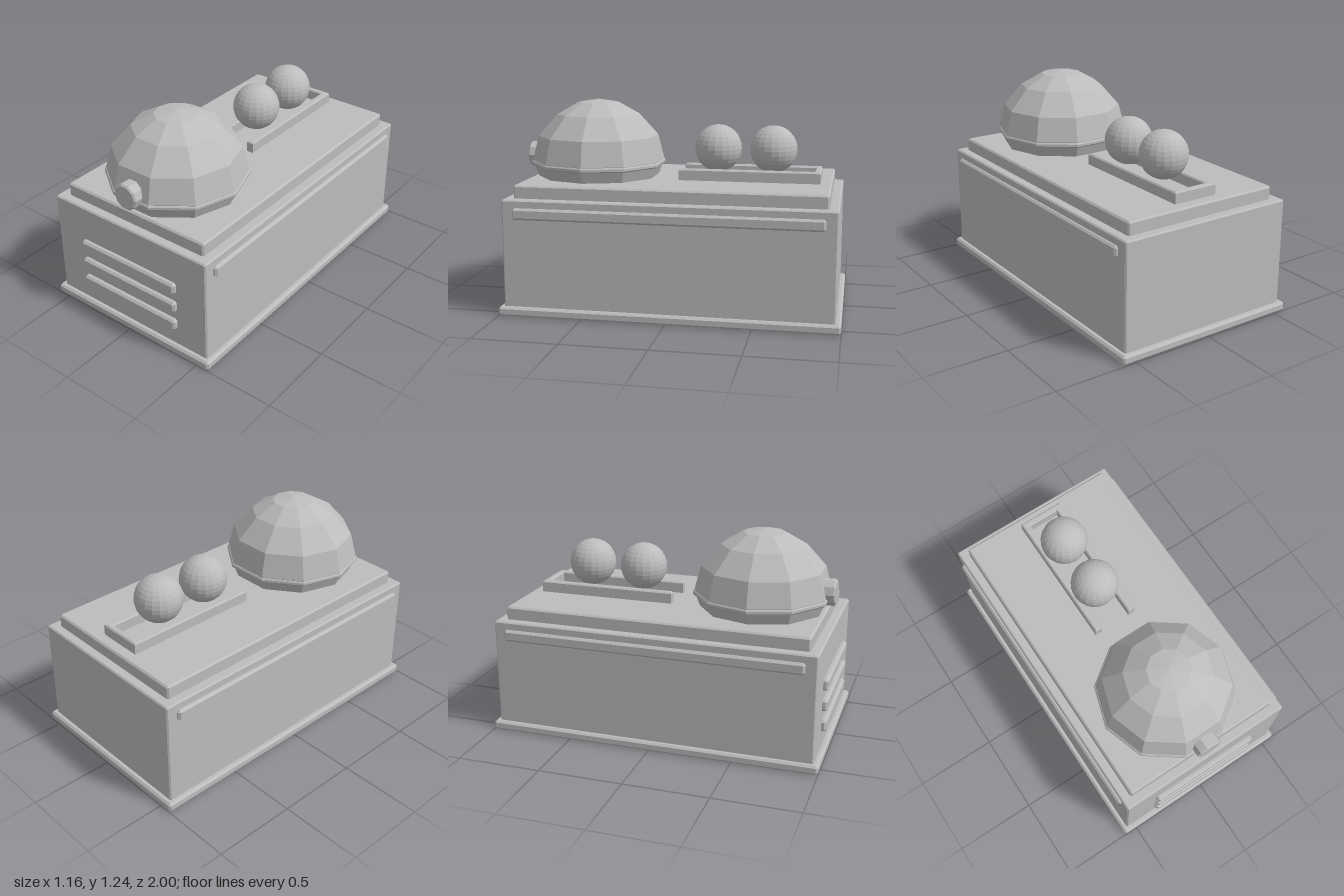
import * as THREE from 'three';
import { ConvexGeometry } from 'three/addons/geometries/ConvexGeometry.js';

const grey = new THREE.MeshStandardMaterial({ color: 0xbcbcbc });
grey.name = 'plain grey';

// Flat-shaded mesh
function part(name, geometry, parent) {
  const geo = geometry.index ? geometry.toNonIndexed() : geometry;
  geo.computeVertexNormals();
  const mesh = new THREE.Mesh(geo, grey);
  mesh.name = name;
  parent.add(mesh);
  return mesh;
}

// Box with one chamfer on every edge, given by its limits on each axis
function chamferBox([x0, x1], [y0, y1], [z0, z1], b) {
  const half = [(x1 - x0) / 2, (y1 - y0) / 2, (z1 - z0) / 2];
  const points = [];
  for (const sx of [-1, 1]) for (const sy of [-1, 1]) for (const sz of [-1, 1]) {
    for (let axis = 0; axis < 3; axis++) {
      const p = half.map((h, i) => (i === axis ? h : h - b));
      points.push(new THREE.Vector3(sx * p[0], sy * p[1], sz * p[2]));
    }
  }
  return new ConvexGeometry(points).translate((x0 + x1) / 2, (y0 + y1) / 2, (z0 + z1) / 2);
}

// Ten-sided turned form with corners on the x axis
function turned(profile) {
  const points = profile.map(([r, y]) => new THREE.Vector2(r, y));
  return new THREE.LatheGeometry(points, 10, Math.PI / 2);
}

export function createModel() {
  const model = new THREE.Group();
  model.name = 'machine';

  // Cabinet
  part('basePlate', chamferBox([-0.582, 0.582], [0, 0.055], [-1, 1], 0.012), model);
  part('body', chamferBox([-0.553, 0.553], [0.03, 0.694], [-0.97, 0.97], 0.008), model);
  part('topPlate', chamferBox([-0.497, 0.497], [0.66, 0.772], [-0.915, 0.915], 0.01), model);

  // Front louvres
  for (const y of [0.196, 0.321, 0.446]) {
    part('louvre', chamferBox([-0.347, 0.347], [y - 0.034, y + 0.034], [0.93, 0.999], 0.012), model);
  }

  // Side rails
  for (const s of [-1, 1]) {
    const x = s * 0.54;
    part(s > 0 ? 'leftRail' : 'rightRail',
      chamferBox([x - 0.034, x + 0.034], [0.58, 0.648], [-0.902, 0.902], 0.012), model);
  }

  // Dome with its rim band
  const dome = new THREE.Group();
  dome.name = 'dome';
  dome.position.z = 0.53;
  model.add(dome);
  part('domeShell', turned([
    [0.37, 0.76], [0.402, 0.845], [0.408, 0.87], [0.371, 1.018],
    [0.254, 1.15], [0.126, 1.223], [0, 1.243],
  ]), dome);
  part('domeRim', turned([
    [0.38, 0.838], [0.41, 0.838], [0.416, 0.845], [0.416, 0.859], [0.41, 0.867], [0.38, 0.867],
  ]), dome);

  // Round knob on the dome front
  const knob = part('knob', turned([
    [0, -0.06], [0.079, -0.06], [0.079, 0.06], [0.069, 0.069], [0, 0.069],
  ]).rotateX(Math.PI / 2), model);
  knob.position.set(0, 0.893, 0.9);

  // U-shaped tray, open towards the front
  const outline = [
    [-0.14, 0], [-0.095, 0], [-0.095, 0.808], [0.095, 0.808],
    [0.095, 0], [0.14, 0], [0.14, 0.847], [-0.14, 0.847],
  ].map(([x, y]) => new THREE.Vector2(x, y));
  const b = 0.008;
  const tray = new THREE.ExtrudeGeometry(new THREE.Shape(outline), {
    depth: 0.06, bevelEnabled: true, bevelSegments: 1,
    bevelSize: b, bevelThickness: b, bevelOffset: -b,
  });
  part('tray', tray.rotateX(-Math.PI / 2), model).position.y = 0.772;

  // Two balls resting in the tray
  for (const z of [-0.222, -0.558]) {
    part('ball', new THREE.SphereGeometry(0.143, 20, 16), model).position.set(0, 0.956, z);
  }

  return model;
}
